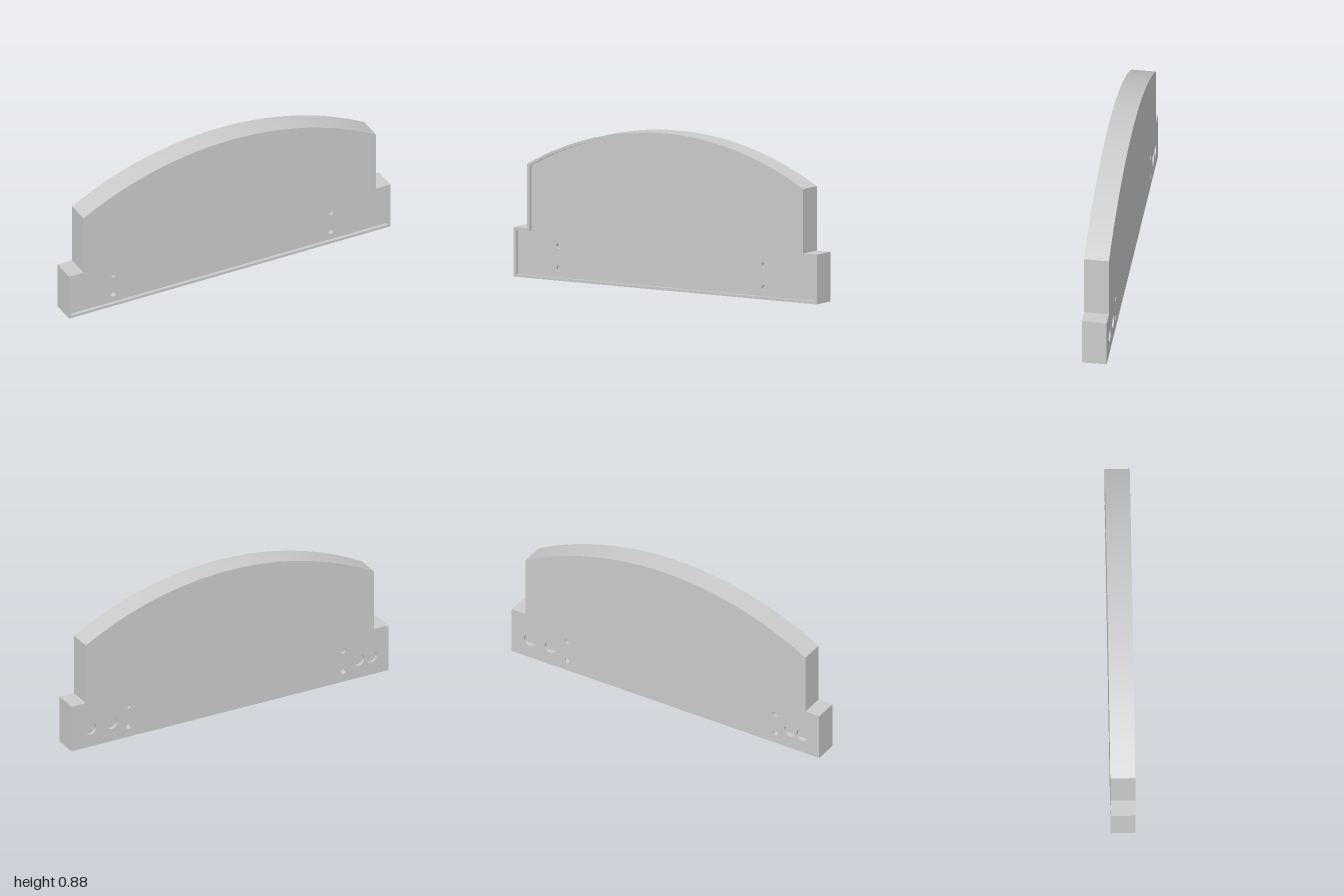
import * as THREE from 'three';
import { toCreasedNormals } from 'three/addons/utils/BufferGeometryUtils.js';

const WALL = 0.016;            // thickness of every wall
const BACK = -0.069, FRONT = 0.069;
const HALF = 0.91, STEP_Y = 0.278, TOP = 0.877, R = 1.845;

const material = new THREE.MeshStandardMaterial({ color: 0xcccccc });

// Stepped, arched outline inset by d, from the lower +x corner over the top to -x
function outline(d, bottom) {
  const r = R - d, x = HALF - d, cy = TOP - R;
  const pts = [[1 - d, bottom], [1 - d, STEP_Y - d], [x, STEP_Y - d]];
  const a = Math.asin(x / r), n = 64;
  for (let i = 0; i <= n; i++) {
    const t = a - (2 * a * i) / n;
    pts.push([r * Math.sin(t), cy + r * Math.cos(t)]);
  }
  pts.push([-x, STEP_Y - d], [d - 1, STEP_Y - d], [d - 1, bottom]);
  return pts.map(([px, py]) => new THREE.Vector2(px, py));
}

function addHole(shape, x, y, r) {
  shape.holes.push(new THREE.Path().absarc(x, y, r, 0, Math.PI * 2, true));
}

function rect(path, x0, y0, x1, y1) {
  return path.moveTo(x0, y0).lineTo(x1, y0).lineTo(x1, y1).lineTo(x0, y1).closePath();
}

function extrude(shape, depth) {
  const g = new THREE.ExtrudeGeometry(shape, { depth, bevelEnabled: false, curveSegments: 16 });
  return toCreasedNormals(g, 0.5);
}

export function createModel() {
  const model = new THREE.Group();
  model.name = 'archedEnclosure';
  const add = (name, geometry) => {
    const mesh = new THREE.Mesh(geometry, material);
    mesh.name = name;
    model.add(mesh);
  };

  // Panels, each pierced by four screw holes
  const backShape = new THREE.Shape(outline(0, 0));
  const frontShape = new THREE.Shape(outline(WALL, WALL));
  for (const shape of [backShape, frontShape])
    for (const x of [-0.715, 0.64])
      for (const y of [0.063, 0.19]) addHole(shape, x, y, 0.015);

  // Larger cable holes in the back only
  for (const x of [-0.89, -0.81, 0.882, 0.748]) addHole(backShape, x, 0.112, 0.037);

  add('backPanel', extrude(backShape, WALL).translate(0, 0, BACK));
  add('frontPanel', extrude(frontShape, WALL).translate(0, 0, 0.035));

  // Side and arched top walls, standing proud of the front panel
  const rim = new THREE.Shape([...outline(0, WALL), ...outline(WALL, WALL).reverse()]);
  add('rimWall', extrude(rim, FRONT - BACK - WALL).translate(0, 0, BACK + WALL));

  // Bottom wall with a slot, drawn in x and -z
  const bottom = rect(new THREE.Shape(), -1, -FRONT, 1, -BACK - WALL);
  bottom.holes.push(rect(new THREE.Path(), -0.1, 0.008, 0.1, 0.047));
  add('bottomWall', extrude(bottom, WALL).rotateX(-Math.PI / 2));

  return model;
}
